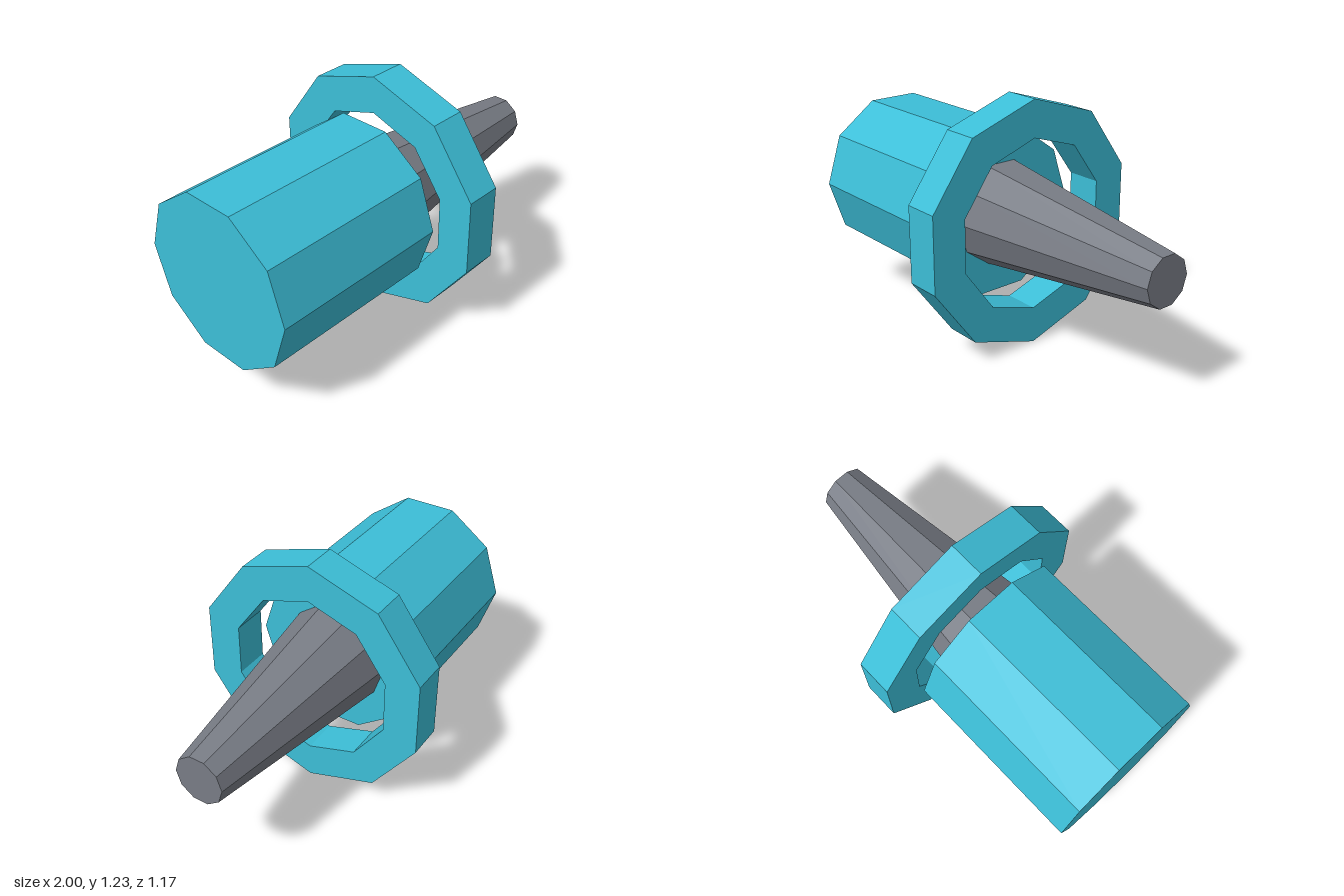
import * as THREE from 'three';

const SIDES = 10;
const AXIS_Y = 0.617;

export function createModel() {
  const teal = new THREE.MeshStandardMaterial({ color: 0x3cbed7, flatShading: true });
  teal.name = 'teal';
  const grey = new THREE.MeshStandardMaterial({ color: 0x787c85, flatShading: true });
  grey.name = 'grey';

  const model = new THREE.Group();
  model.name = 'model';

  // Lays a y-axis solid along +x at the shared axis height
  const addPart = (name, geometry, material, x) => {
    const mesh = new THREE.Mesh(geometry.rotateZ(-Math.PI / 2), material);
    mesh.name = name;
    mesh.position.set(x, AXIS_Y, 0);
    model.add(mesh);
  };

  // Ten-sided body, x from -1 to -0.08
  addPart('body', new THREE.CylinderGeometry(0.43, 0.43, 0.92, SIDES), teal, -0.54);

  // Tapered nozzle, x from -0.08 to 1
  addPart('nozzle', new THREE.CylinderGeometry(0.123, 0.267, 1.08, SIDES), grey, 0.46);

  // Free-standing ring with a corner at the top, closed rectangular profile
  const h = 0.0915, outer = 0.617, inner = 0.432;
  const profile = [[outer, -h], [outer, h], [inner, h], [inner, -h], [outer, -h]]
    .map(([r, y]) => new THREE.Vector2(r, y));
  addPart('ring', new THREE.LatheGeometry(profile, SIDES, Math.PI / 2), teal, 0.0745);

  return model;
}
